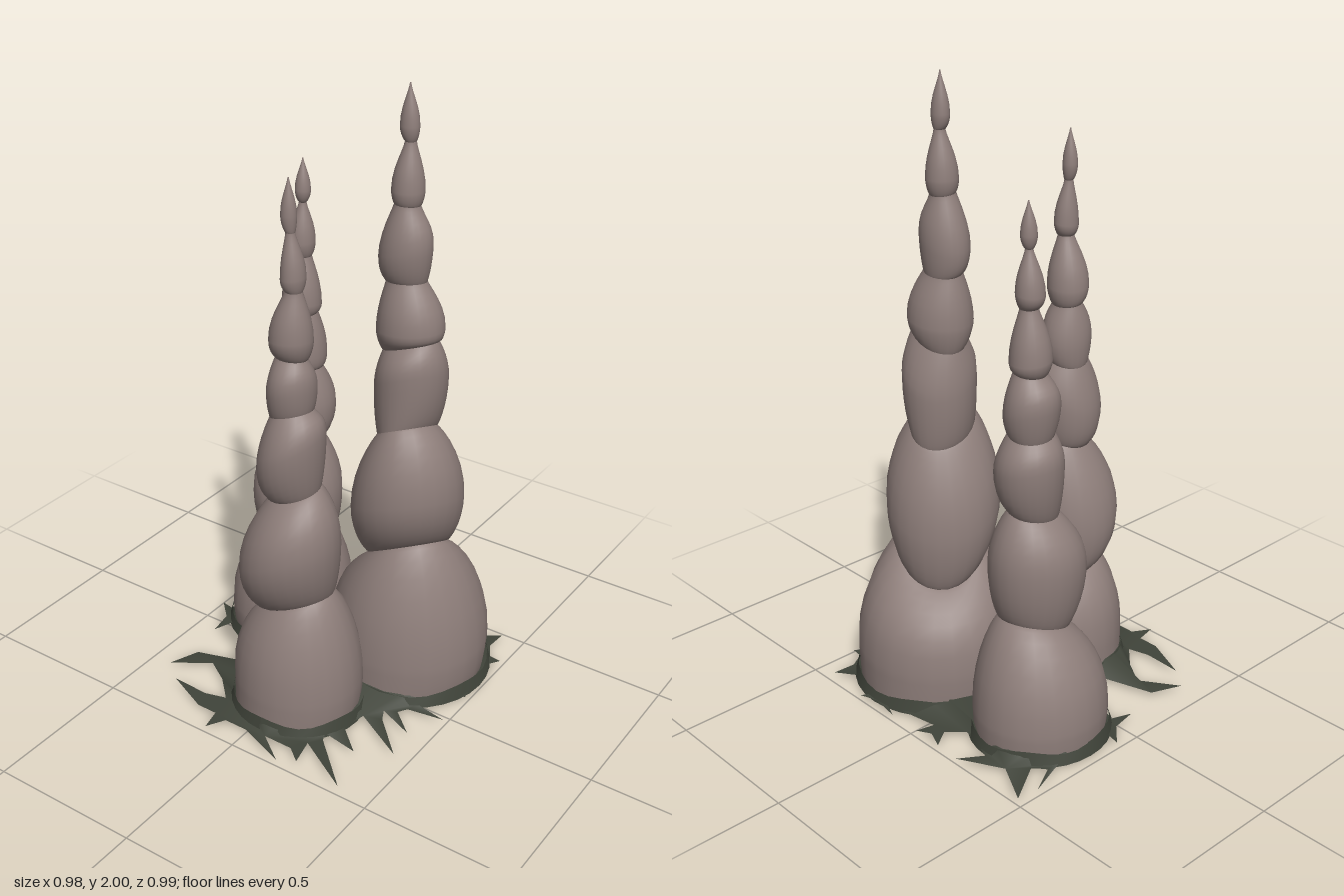
import * as THREE from 'three';

const stone = new THREE.MeshStandardMaterial({ color: 0x8f7f7b });
const moss = new THREE.MeshStandardMaterial({ color: 0x40443a, side: THREE.DoubleSide });
const SIDES = 24, STEPS = 7;

// Each spire alternates waist and belly rings from the ground to the tip:
// [y, x, z, radius x, radius z, slope along x, slope along z]
const spires = {
  tallSpire: [
    [0, .21, -.2, .25, .26, 0, 0], [.14, .213, -.2, .265, .262, 0, 0],
    [.46, .21, -.185, .13, .13, .5, .4], [.645, .215, -.163, .18, .184, .35, .3],
    [.9, .207, -.165, .088, .11, .45, .35], [1.07, .213, -.17, .114, .118, .4, .35],
    [1.19, .208, -.17, .09, .075, .35, .15], [1.25, .208, -.165, .108, .097, .1, .05],
    [1.4, .19, -.165, .065, .055, .1, .1], [1.5, .188, -.158, .085, .071, .3, 0],
    [1.64, .188, -.162, .04, .04, 0, .1], [1.685, .188, -.163, .05, .05, 0, 0],
    [1.83, .19, -.167, .017, .018, 0, 0], [1.875, .187, -.165, .03, .027, 0, 0],
    [2, .185, -.165, .002, .002, 0, 0],
  ],
  leftSpire: [
    [0, -.25, -.18, .2, .21, 0, 0], [.1, -.25, -.178, .208, .217, 0, 0],
    [.37, -.21, -.17, .11, .11, -.1, -.3], [.56, -.21, -.155, .146, .157, -.1, -.1],
    [.74, -.21, -.17, .07, .08, .1, -.1], [.89, -.205, -.185, .106, .106, -.2, 0],
    [1.0, -.21, -.18, .068, .07, .1, .1], [1.08, -.212, -.18, .085, .086, -.3, 0],
    [1.19, -.205, -.18, .05, .05, .1, 0], [1.23, -.207, -.18, .064, .064, 0, .1],
    [1.385, -.203, -.183, .028, .028, 0, 0], [1.43, -.208, -.183, .044, .044, .1, 0],
    [1.56, -.203, -.183, .012, .012, 0, 0], [1.6, -.202, -.183, .025, .025, 0, 0],
    [1.7, -.203, -.185, .002, .002, 0, 0],
  ],
  frontSpire: [
    [0, .03, .19, .205, .198, 0, 0], [.12, .035, .187, .212, .202, 0, 0],
    [.4, .035, .19, .12, .11, .4, .1], [.58, .03, .222, .162, .155, .45, .1],
    [.8, .042, .205, .08, .077, .3, -.1], [.95, .037, .218, .105, .109, .6, -.1],
    [1.07, .035, .21, .066, .066, .3, .1], [1.15, .036, .21, .074, .081, .3, .2],
    [1.25, .035, .208, .05, .045, 0, .1], [1.31, .037, .213, .067, .065, .1, .1],
    [1.465, .05, .215, .026, .026, 0, 0], [1.505, .047, .213, .037, .04, .1, 0],
    [1.64, .04, .215, .014, .014, 0, 0], [1.69, .035, .215, .024, .023, 0, 0],
    [1.8, .035, .215, .002, .002, 0, 0],
  ],
};

// One bulging segment between two waists; higher powers pinch the ends more
function blob(low, belly, high, lowPower, highPower) {
  const pos = [], idx = [];
  for (let j = 0; j <= 2 * STEPS; j++) {
    const a = (j / STEPS - 1) * Math.PI / 2;
    const [end, power] = j < STEPS ? [low, lowPower] : [high, highPower];
    const f = Math.abs(Math.sin(a)), w = Math.max(0, Math.cos(a)) ** power;
    const ring = end.map((v, k) => THREE.MathUtils.lerp(v, belly[k], k === 0 ? 1 - f : w));
    const [y, x, z, rx, rz, sx, sz] = ring;
    for (let i = 0; i < SIDES; i++) {
      const t = i / SIDES * Math.PI * 2;
      const dx = rx * Math.cos(t), dz = rz * Math.sin(t);
      pos.push(x + dx, y + sx * dx + sz * dz, z + dz);
      if (j === 2 * STEPS) continue;
      const p = j * SIDES + i, q = j * SIDES + (i + 1) % SIDES;
      idx.push(p, p + SIDES, q, q, p + SIDES, q + SIDES);
    }
  }
  const g = new THREE.BufferGeometry();
  g.setAttribute('position', new THREE.Float32BufferAttribute(pos, 3));
  g.setIndex(idx);
  g.computeVertexNormals();
  return g;
}

// Ragged outline of the ground sheet, as x, z pairs
const outline = [
  -.48, -.49, -.35, -.42, -.21, -.495, -.26, -.42, -.21, -.4, -.13, -.38, -.08, -.43, -.12, -.49,
  -.06, -.465, -.015, -.49, -.03, -.43, .05, -.445, .17, -.46, .1, -.49, .2, -.475, .26, -.495,
  .24, -.46, .36, -.43, .425, -.475, .42, -.4, .45, -.35, .49, -.345, .46, -.3, .475, -.2,
  .49, -.11, .455, -.1, .43, -.02, .38, .01, .49, .03, .37, .05, .35, .08, .43, .15,
  .31, .1, .33, .14, .45, .26, .27, .16, .25, .24, .34, .32, .22, .3, .23, .33,
  .39, .48, .2, .37, .22, .46, .17, .42, .07, .42, .165, .49, 0, .43, -.08, .43,
  -.115, .49, -.13, .42, -.2, .42, -.35, .355, -.22, .36, -.15, .34, -.22, .27, -.3, .22,
  -.42, .3, -.38, .2, -.22, .15, -.22, .08, -.3, .035, -.39, 0, -.415, .065, -.43, -.02,
  -.49, -.08, -.44, -.07, -.465, -.15, -.44, -.28, -.49, -.42, -.44, -.33, -.4, -.36,
];
// Raised round beds under the spires: x, z, radius
const beds = [[.21, -.2, .235], [-.25, -.18, .2], [.03, .19, .185]];
const BED_Y = .055, EDGE_Y = .014;

function groundSheet() {
  const pts = [];
  for (let i = 0; i < outline.length; i += 2) pts.push(new THREE.Vector2(outline[i], -outline[i + 1]));
  const shape = new THREE.Shape(pts);
  for (const [x, z, r] of beds) shape.holes.push(new THREE.Path().absarc(x, -z, r, 0, Math.PI * 2, true));
  const g = new THREE.ShapeGeometry(shape, 10).rotateX(-Math.PI / 2);
  // The sheet slopes down from the beds to its ragged edge
  const p = g.attributes.position;
  for (let i = 0; i < p.count; i++) {
    const onBed = beds.some(([x, z, r]) => Math.hypot(p.getX(i) - x, p.getZ(i) - z) < r + .004);
    p.setY(i, onBed ? BED_Y : EDGE_Y);
  }
  g.computeVertexNormals();
  return g;
}

// Flared collar with a wavy top edge, hugging the foot of a spire
function collar([, x, z, rx, rz]) {
  const g = new THREE.CylinderGeometry(1, 1, 1, 32, 1, true);
  const p = g.attributes.position;
  for (let i = 0; i < p.count; i++) {
    const top = p.getY(i) > 0, t = Math.atan2(p.getZ(i), p.getX(i));
    const grow = top ? .004 : .016;
    const y = top ? BED_Y - .008 + .008 * Math.sin(5 * t) : .006;
    p.setXYZ(i, x + (rx + grow) * p.getX(i), y, z + (rz + grow) * p.getZ(i));
  }
  g.computeVertexNormals();
  return g;
}

export function createModel() {
  const model = new THREE.Group();
  model.name = 'rockSpires';
  const ground = new THREE.Group();
  ground.name = 'ground';
  const add = (parent, name, geometry, material) => {
    const mesh = new THREE.Mesh(geometry, material);
    mesh.name = name;
    parent.add(mesh);
    return mesh;
  };

  for (const [name, rows] of Object.entries(spires)) {
    const spire = new THREE.Group();
    spire.name = name;
    for (let i = 0; i + 2 < rows.length; i += 2) {
      add(spire, 'segment' + (i / 2 + 1), blob(rows[i], rows[i + 1], rows[i + 2], 1.7, 1.5 + i * .14), stone);
    }
    model.add(spire);
    add(ground, 'collar', collar(rows[1]), moss);
  }

  add(ground, 'groundSheet', groundSheet(), moss);
  for (const [x, z, r] of beds) {
    const bed = add(ground, 'spireBed', new THREE.CircleGeometry(r, 20).rotateX(-Math.PI / 2), moss);
    bed.position.set(x, BED_Y, z);
  }
  model.add(ground);
  return model;
}
